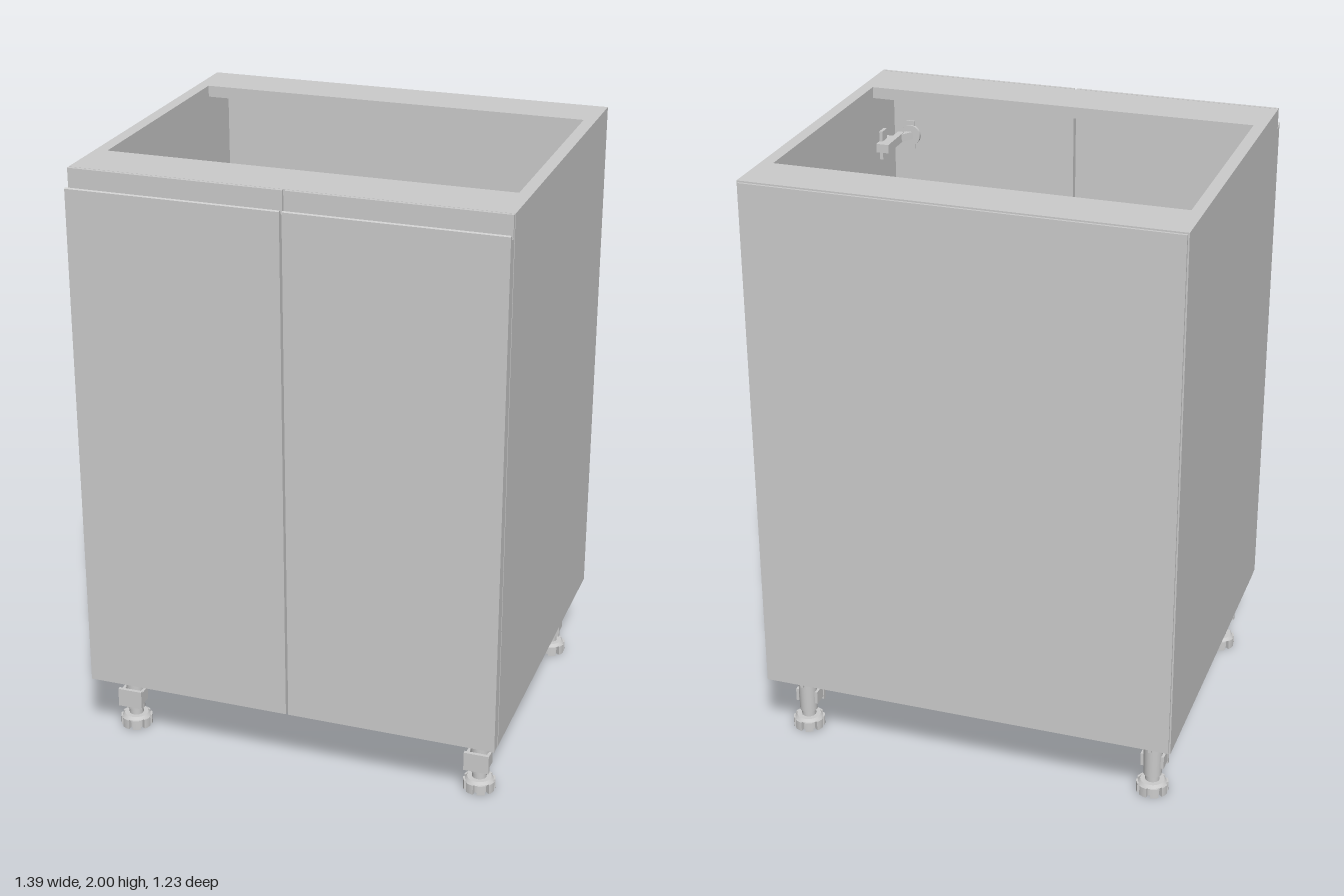
import * as THREE from 'three';

const mat = new THREE.MeshStandardMaterial({ color: 0xcccccc });
const flat = new THREE.MeshStandardMaterial({ color: 0xcccccc, flatShading: true });

function add(parent, name, geometry, x = 0, y = 0, z = 0, material = mat) {
  const mesh = new THREE.Mesh(geometry, material);
  mesh.name = name;
  mesh.position.set(x, y, z);
  parent.add(mesh);
  return mesh;
}

// Box given by its minimum and maximum corners
function slab(parent, name, [x0, y0, z0], [x1, y1, z1]) {
  return add(parent, name, new THREE.BoxGeometry(x1 - x0, y1 - y0, z1 - z0),
    (x0 + x1) / 2, (y0 + y1) / 2, (z0 + z1) / 2);
}

// Upright disc with evenly spaced notches in its rim
function notchedDisc(radius, inner, height, notches) {
  const shape = new THREE.Shape();
  const step = (Math.PI * 2) / notches, gap = 0.13;
  for (let i = 0; i < notches; i++) {
    const a = i * step;
    shape.absarc(0, 0, radius, a + gap, a + step - gap, false);
    shape.absarc(0, 0, inner, a + step - gap, a + step + gap, false);
  }
  return new THREE.ExtrudeGeometry(shape, { depth: height, bevelEnabled: false, curveSegments: 5 })
    .rotateX(-Math.PI / 2);
}

// Door with a recessed grip along its top edge
function makeDoor(side) {
  const profile = [[0.577, 0.24], [0.615, 0.24], [0.615, 1.942], [0.609, 1.945],
    [0.593, 1.925], [0.588, 1.93], [0.588, 2], [0.577, 2]];
  const shape = new THREE.Shape(profile.map(([z, y]) => new THREE.Vector2(-z, y)));
  const geometry = new THREE.ExtrudeGeometry(shape, { depth: 0.69, bevelEnabled: false });
  geometry.rotateY(Math.PI / 2);
  geometry.translate(side > 0 ? 0.004 : -0.694, 0, 0);
  return geometry;
}

// Adjustable leg with a socket, stem, plinth clip and foot
function makeLeg() {
  const leg = new THREE.Group();
  leg.name = 'leg';
  add(leg, 'legFlange', notchedDisc(0.058, 0.047, 0.028, 4), 0, 0.212, 0);
  add(leg, 'legSocket', new THREE.CylinderGeometry(0.055, 0.046, 0.03, 24), 0, 0.198, 0);
  add(leg, 'legStem', new THREE.CylinderGeometry(0.032, 0.03, 0.13, 20), 0, 0.13, 0);
  add(leg, 'legThread', new THREE.CylinderGeometry(0.024, 0.024, 0.05, 16), 0, 0.055, 0);
  add(leg, 'foot', notchedDisc(0.053, 0.038, 0.034, 8), 0, 0, 0);
  add(leg, 'footCollar', new THREE.CylinderGeometry(0.04, 0.048, 0.01, 24), 0, 0.038, 0);
  slab(leg, 'clipPlate', [-0.042, 0.085, 0.036], [0.042, 0.15, 0.048]);
  for (const s of [-1, 1]) {
    slab(leg, 'clipArm', [s * 0.034 - 0.005, 0.095, -0.012], [s * 0.034 + 0.005, 0.14, 0.038]);
  }
  for (let i = 0; i < 4; i++) {
    const rib = add(leg, 'socketRib', new THREE.BoxGeometry(0.01, 0.04, 0.1), 0, 0.195, 0);
    rib.rotation.y = (i * Math.PI) / 4;
  }
  return leg;
}

// Concealed hinge joining a side panel to a door
function makeHinge(side, y) {
  const hinge = new THREE.Group();
  hinge.name = 'hinge';
  const wall = side * 0.655;
  add(hinge, 'hingePlate', new THREE.BoxGeometry(0.012, 0.1, 0.04), wall - side * 0.006, y, 0.45);
  add(hinge, 'hingeBase', new THREE.BoxGeometry(0.025, 0.03, 0.1), wall - side * 0.0125, y, 0.45);
  add(hinge, 'hingeArm', new THREE.BoxGeometry(0.022, 0.03, 0.15), wall - side * 0.033, y, 0.475);
  const link = add(hinge, 'hingeLink', new THREE.BoxGeometry(0.02, 0.026, 0.06),
    wall - side * 0.048, y, 0.55);
  link.rotation.y = -side * 0.6;
  const cup = add(hinge, 'hingeCup', new THREE.CylinderGeometry(0.036, 0.036, 0.014, 24),
    wall - side * 0.06, y, 0.572);
  cup.rotation.x = Math.PI / 2;
  add(hinge, 'hingeCupFlange', new THREE.BoxGeometry(0.03, 0.1, 0.006), wall - side * 0.06, y, 0.574);
  return hinge;
}

export function createModel() {
  const cabinet = new THREE.Group();
  cabinet.name = 'cabinet';

  // Carcass
  for (const s of [-1, 1]) {
    slab(cabinet, 'sidePanel', [Math.min(s * 0.655, s * 0.695), 0.24, -0.607],
      [Math.max(s * 0.655, s * 0.695), 2, 0.575]);
  }
  slab(cabinet, 'bottomPanel', [-0.655, 0.24, -0.607], [0.655, 0.278, 0.575]);
  slab(cabinet, 'backPanel', [-0.69, 0.245, -0.615], [0.69, 1.995, -0.607]);
  slab(cabinet, 'frontRail', [-0.655, 1.962, 0.385], [0.655, 2, 0.575]);
  slab(cabinet, 'backRail', [-0.655, 1.962, -0.607], [0.655, 2, -0.43]);
  slab(cabinet, 'shelf', [-0.655, 1.12, -0.607], [0.655, 1.158, 0.53]);

  // Doors and hinges
  for (const s of [-1, 1]) {
    add(cabinet, s > 0 ? 'leftDoor' : 'rightDoor', makeDoor(s), 0, 0, 0, flat);
    for (const y of [0.46, 1.78]) cabinet.add(makeHinge(s, y));
  }

  // Legs
  for (const x of [-0.608, 0.608]) {
    for (const z of [0.463, -0.481]) {
      const leg = makeLeg();
      leg.position.set(x, 0, z);
      cabinet.add(leg);
    }
  }
  return cabinet;
}
